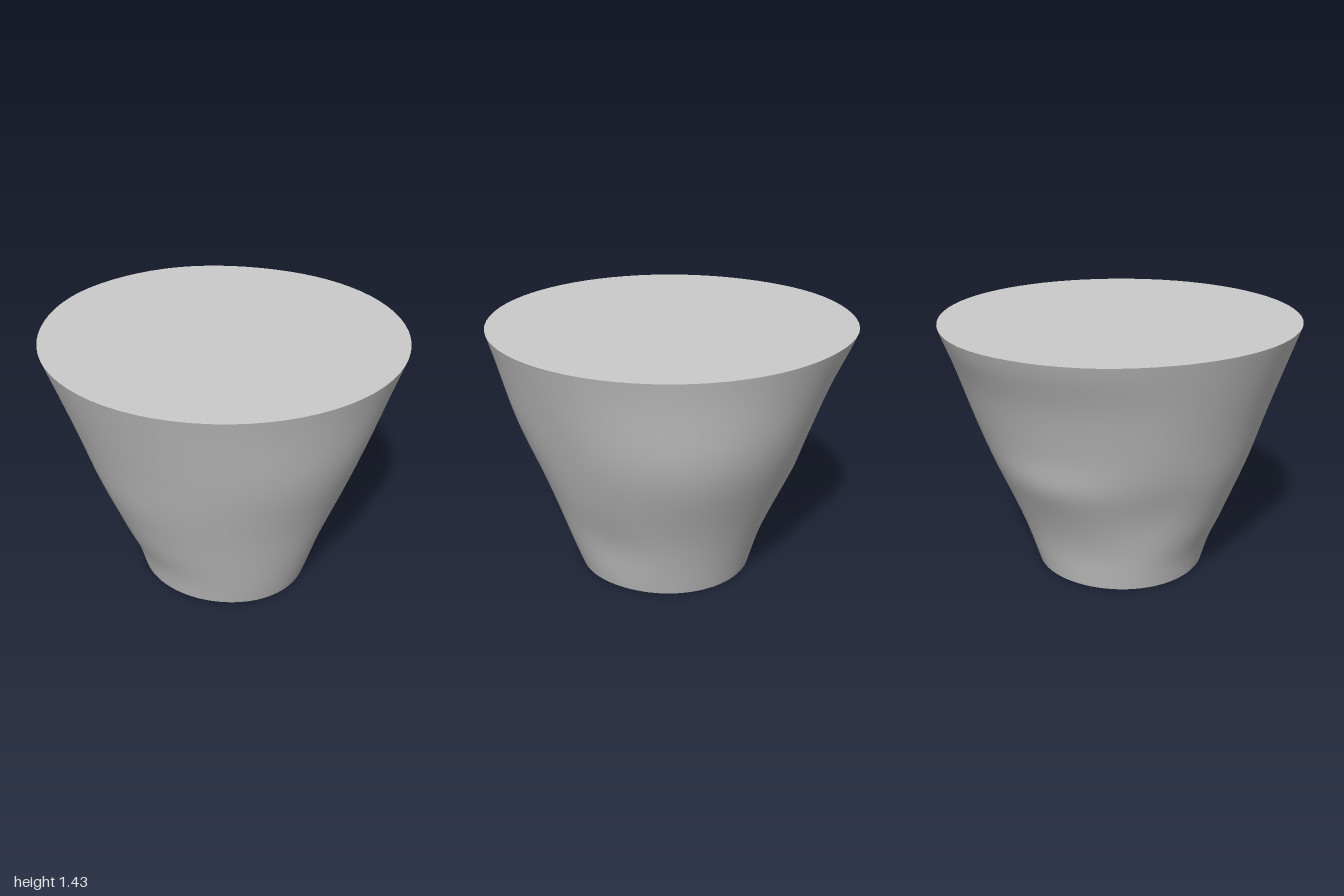
import * as THREE from 'three';

const HEIGHT = 1.43, CENTRE_Z = 0.02, SEGMENTS = 72, ROWS = 27;

// Shallow swellings and hollows: angle from +x towards +z (degrees), height, angular spread, height spread, depth
const BUMPS = [
  [0, 0.88, 28, 0.27, 0.063],
  [90, 0.1, 30, 0.45, 0.038],
  [90, 0.95, 30, 0.24, 0.035],
  [-90, 0.25, 32, 0.17, -0.033],
  [-72, 1.43, 17, 0.14, 0.032],
  [-108, 1.43, 17, 0.14, 0.028],
  [-90, 0.66, 20, 0.09, 0.02],
  [180, 0.14, 25, 0.1, -0.018],
  [180, 0.68, 30, 0.15, 0.012],
  [45, 0.3, 16, 0.14, -0.02],
  [55, 0.95, 12, 0.22, -0.015],
  [-135, 0.5, 14, 0.15, -0.02],
];

function radiusAt(angle, y) {
  let r = 0.48 + 0.5 * y / HEIGHT;
  for (const [a, h, spreadA, spreadY, depth] of BUMPS) {
    const d = ((angle - a + 540) % 360) - 180;
    r += depth * Math.exp(-0.5 * (d / spreadA) ** 2 - 0.5 * ((y - h) / spreadY) ** 2);
  }
  return r;
}

// Moves a unit circle's vertices onto the uneven outline at a given height
function place(pos, i, y, scale = 1) {
  const x = pos.getX(i), z = pos.getZ(i);
  const angle = THREE.MathUtils.radToDeg(Math.atan2(z, x));
  const r = radiusAt(angle, y) * scale / (Math.hypot(x, z) || 1);
  pos.setXYZ(i, x * r, y, z * r + CENTRE_Z);
}

export function createModel() {
  const group = new THREE.Group();
  const material = new THREE.MeshStandardMaterial({ color: 0xcccccc });
  const add = (name, geometry) => {
    const mesh = new THREE.Mesh(geometry, material);
    mesh.name = name;
    group.add(mesh);
  };

  // Tapered, slightly uneven wall
  const wall = new THREE.CylinderGeometry(1, 1, HEIGHT, SEGMENTS, ROWS, true);
  const wallPos = wall.attributes.position;
  for (let i = 0; i < wallPos.count; i++) place(wallPos, i, wallPos.getY(i) + HEIGHT / 2);
  wall.computeVertexNormals();
  // Match the normals along the vertical seam
  const n = wall.attributes.normal;
  for (let row = 0; row <= ROWS; row++) {
    const a = row * (SEGMENTS + 1), b = a + SEGMENTS;
    const v = new THREE.Vector3().fromBufferAttribute(n, a)
      .add(new THREE.Vector3().fromBufferAttribute(n, b)).normalize();
    n.setXYZ(a, v.x, v.y, v.z);
    n.setXYZ(b, v.x, v.y, v.z);
  }
  add('taperedWall', wall);

  // Flat top following the rim
  const top = new THREE.CircleGeometry(1, SEGMENTS).rotateX(-Math.PI / 2);
  const topPos = top.attributes.position;
  for (let i = 1; i < topPos.count; i++) place(topPos, i, HEIGHT);
  topPos.setXYZ(0, 0, HEIGHT, CENTRE_Z);
  add('topFace', top);

  // Underside rim, from the wall in to the recess
  const under = new THREE.RingGeometry(0.27, 1, SEGMENTS, 1).rotateX(Math.PI / 2);
  const underPos = under.attributes.position;
  for (let i = 0; i < underPos.count; i++) {
    if (Math.hypot(underPos.getX(i), underPos.getZ(i)) > 0.5) place(underPos, i, 0);
    else underPos.setZ(i, underPos.getZ(i) + CENTRE_Z);
  }
  add('undersideRim', under);

  // Round recess with a central boss
  const disc = (name, r0, r1, y) =>
    add(name, new THREE.RingGeometry(r0, r1, 48).rotateX(Math.PI / 2).translate(0, y, CENTRE_Z));
  disc('recessFloor', 0.155, 0.27, 0.035);
  add('bossFace', new THREE.CircleGeometry(0.155, 48).rotateX(Math.PI / 2).translate(0, 0, CENTRE_Z));
  add('bossWall', new THREE.CylinderGeometry(0.155, 0.155, 0.035, 48, 1, true).translate(0, 0.0175, CENTRE_Z));
  const recessWall = new THREE.CylinderGeometry(0.27, 0.27, 0.035, 48, 1, true);
  recessWall.scale(-1, 1, 1).translate(0, 0.0175, CENTRE_Z);
  recessWall.computeVertexNormals();
  add('recessWall', recessWall);

  return group;
}
